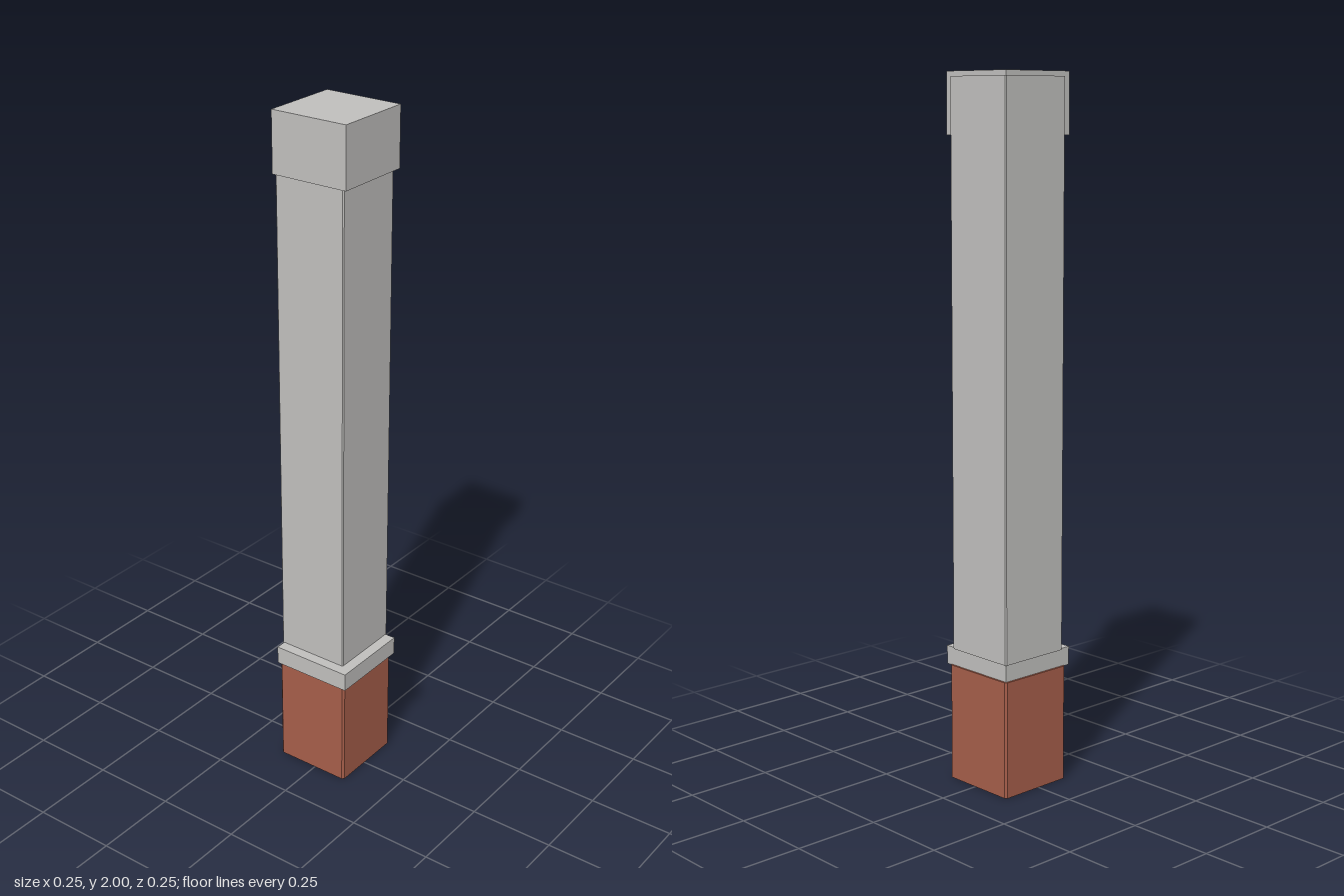
import * as THREE from 'three';

// Upright square prism from (min, min) to (max, max), with lightly chamfered vertical edges
function squarePrism(name, min, max, y0, y1, chamfer, material) {
  let geometry;
  if (chamfer > 0) {
    const a = min + chamfer, b = max - chamfer;
    // shape y becomes -z once the prism is stood upright
    const outline = new THREE.Shape([
      [a, -max], [b, -max], [max, -b], [max, -a],
      [b, -min], [a, -min], [min, -a], [min, -b],
    ].map(([x, y]) => new THREE.Vector2(x, y)));
    geometry = new THREE.ExtrudeGeometry(outline, { depth: y1 - y0, bevelEnabled: false });
    geometry.rotateX(-Math.PI / 2);
    geometry.translate(0, y0, 0);
  } else {
    const size = max - min, mid = (max + min) / 2;
    geometry = new THREE.BoxGeometry(size, y1 - y0, size);
    geometry.translate(mid, (y0 + y1) / 2, mid);
  }
  const mesh = new THREE.Mesh(geometry, material);
  mesh.name = name;
  return mesh;
}

export function createModel() {
  const stone = new THREE.MeshStandardMaterial({ color: 0xc0bfbd });
  stone.name = 'pale stone';
  const brick = new THREE.MeshStandardMaterial({ color: 0xa65e4a });
  brick.name = 'red brick';

  const column = new THREE.Group();
  column.name = 'column';
  column.add(
    // Brick plinth
    squarePrism('base', -0.127, 0.106, 0, 0.338, 0.006, brick),
    // Projecting band, offset towards the front left
    squarePrism('band', -0.121, 0.125, 0.336, 0.39, 0, stone),
    // Tall shaft, stopping just below the top of the cap
    squarePrism('shaft', -0.127, 0.093, 0.388, 1.986, 0.003, stone),
    // Cap, offset like the band
    squarePrism('cap', -0.115, 0.12, 1.83, 2, 0, stone),
  );
  return column;
}
